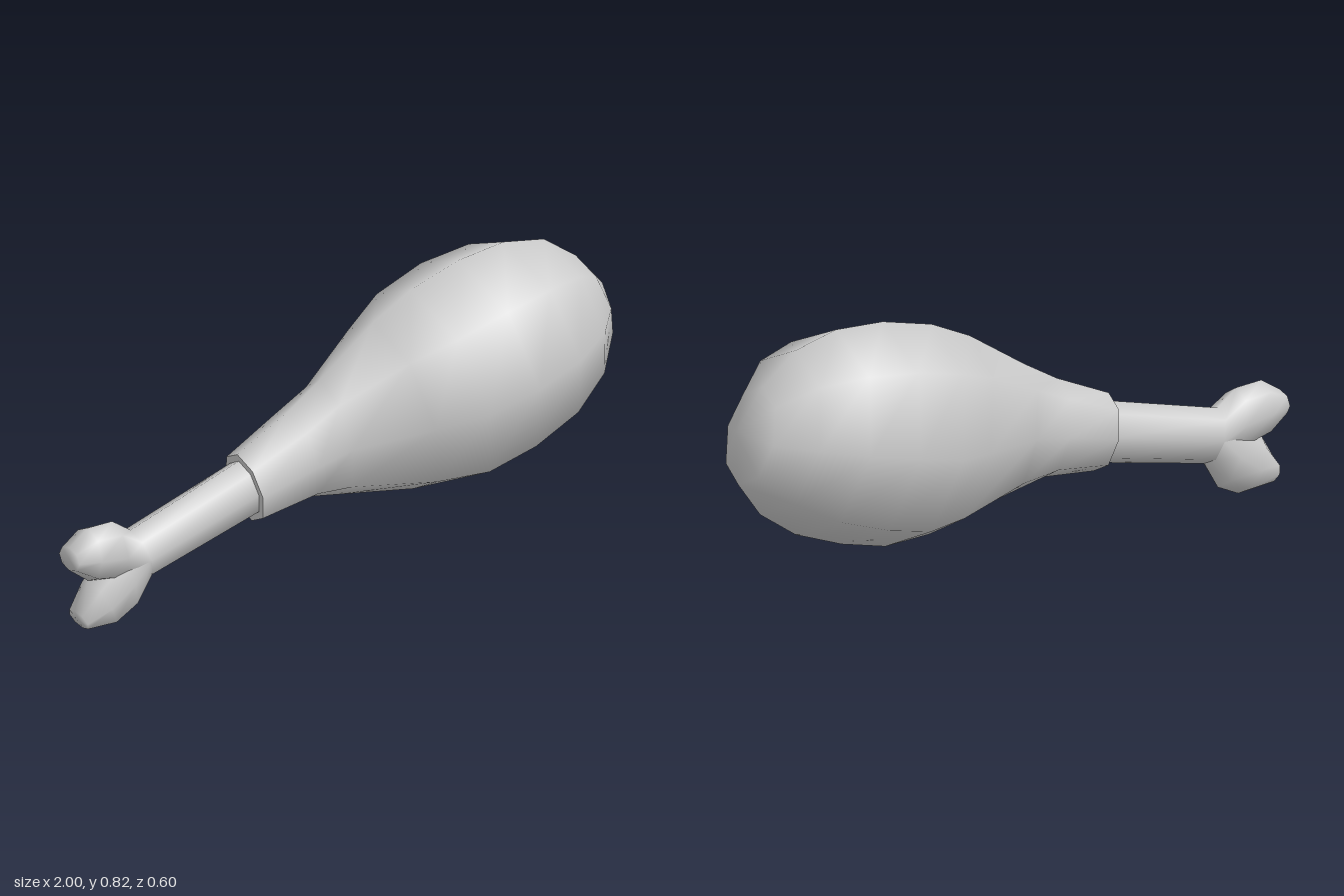
import * as THREE from 'three';

const SIDES = 8;

// Lofts eight-sided rings along +x. Each ring: [topX, topY, bottomX, bottomY, halfDepth].
function loft(rings, { startCap = 'none', tip = null } = {}) {
  const pos = [], idx = [];
  const addRing = ([tx, ty, bx, by, hz]) => {
    const cx = (tx + bx) / 2, cy = (ty + by) / 2;
    for (let k = 0; k < SIDES; k++) {
      const a = (k / SIDES) * Math.PI * 2, c = Math.cos(a);
      pos.push(cx + (tx - cx) * c, cy + (ty - cy) * c, hz * Math.sin(a));
    }
  };
  rings.forEach(addRing);
  for (let i = 0; i < rings.length - 1; i++) {
    for (let k = 0; k < SIDES; k++) {
      const n = (k + 1) % SIDES;
      const a = i * SIDES + k, b = i * SIDES + n, c = a + SIDES, d = b + SIDES;
      idx.push(a, b, c, b, d, c);
    }
  }
  // Start cap: 'sharp' gets its own ring for a hard edge, 'soft' shares the first ring
  if (startCap !== 'none') {
    let base = 0;
    if (startCap === 'sharp') {
      base = pos.length / 3;
      addRing(rings[0]);
    }
    const centre = pos.length / 3;
    const [tx, ty, bx, by] = rings[0];
    pos.push((tx + bx) / 2, (ty + by) / 2, 0);
    for (let k = 0; k < SIDES; k++) idx.push(centre, base + (k + 1) % SIDES, base + k);
  }
  // Closing point at the far end
  if (tip) {
    const t = pos.length / 3, last = (rings.length - 1) * SIDES;
    pos.push(...tip);
    for (let k = 0; k < SIDES; k++) idx.push(last + k, last + (k + 1) % SIDES, t);
  }
  const g = new THREE.BufferGeometry();
  g.setAttribute('position', new THREE.Float32BufferAttribute(pos, 3));
  g.setIndex(idx);
  g.computeVertexNormals();
  return g;
}

export function createModel() {
  const model = new THREE.Group();
  const material = new THREE.MeshStandardMaterial({ color: 0xcccccc });
  const add = (name, geometry, parent = model) => {
    const mesh = new THREE.Mesh(geometry, material);
    mesh.name = name;
    parent.add(mesh);
  };

  // Meat: narrow collar swelling to a plump, rounded end
  add('meat', loft([
    [-0.37, 0.42, -0.315, 0.185, 0.09],
    [-0.18, 0.505, -0.12, 0.205, 0.113],
    [-0.06, 0.575, 0.01, 0.175, 0.115],
    [0.14, 0.705, 0.29, 0.11, 0.21],
    [0.28, 0.77, 0.45, 0.105, 0.28],
    [0.46, 0.815, 0.61, 0.145, 0.3],
    [0.63, 0.825, 0.78, 0.21, 0.28],
    [0.78, 0.79, 0.91, 0.3, 0.215],
    [0.9, 0.7, 0.99, 0.41, 0.115],
  ], { startCap: 'sharp', tip: [1, 0.58, 0] }));

  const bone = new THREE.Group();
  bone.name = 'bone';
  model.add(bone);

  // Shaft running into the meat, with the upper knuckle at its end
  const neck = [-0.77, 0.29, -0.72, 0.125, 0.07];
  add('shaftAndUpperKnuckle', loft([
    [-1, 0.3, -1, 0.225, 0.05],
    [-0.93, 0.345, -0.93, 0.17, 0.07],
    [-0.84, 0.34, -0.82, 0.14, 0.07],
    neck,
    [-0.37, 0.395, -0.32, 0.21, 0.07],
    [-0.2, 0.44, -0.15, 0.25, 0.07],
  ], { startCap: 'soft' }), bone);

  // Lower knuckle, forked away from the upper one
  add('lowerKnuckle', loft([
    [-0.98, 0.085, -0.95, 0.02, 0.045],
    [-0.93, 0.17, -0.845, 0.005, 0.065],
    [-0.84, 0.25, -0.77, 0.04, 0.07],
    neck,
  ], { startCap: 'soft' }), bone);

  return model;
}
